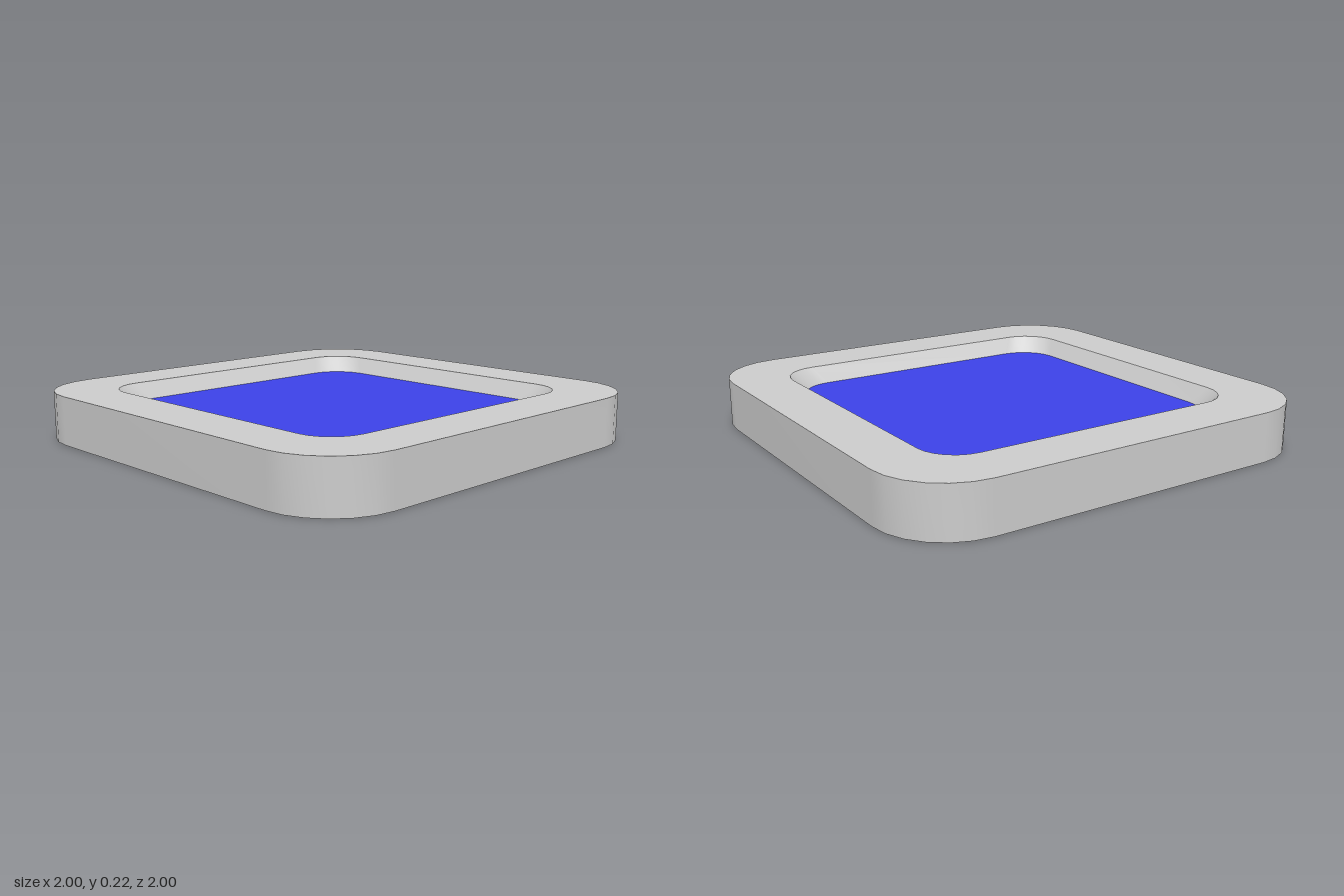
import * as THREE from 'three';

const CORNER_STEPS = 6;

// Rounded-square outline at height y: half width, corner radius
function outline({ half, radius, y }) {
  const points = [];
  const c = half - radius;
  for (let k = 0; k < 4; k++) {
    const sx = k === 0 || k === 3 ? 1 : -1;
    const sz = k < 2 ? 1 : -1;
    for (let i = 0; i <= CORNER_STEPS; i++) {
      const t = (k + i / CORNER_STEPS) * Math.PI / 2;
      points.push([sx * c + radius * Math.cos(t), y, sz * c + radius * Math.sin(t)]);
    }
  }
  return points;
}

// Strip of faces joining two outlines, smooth within itself
function band(from, to) {
  const a = outline(from), b = outline(to), n = a.length;
  const index = [];
  for (let i = 0; i < n; i++) {
    const j = (i + 1) % n;
    index.push(i, n + i, n + j, i, n + j, j);
  }
  const geometry = new THREE.BufferGeometry();
  geometry.setAttribute('position', new THREE.Float32BufferAttribute([...a, ...b].flat(), 3));
  geometry.setIndex(index);
  geometry.computeVertexNormals();
  return geometry;
}

// Flat face filling an outline, facing up or down
function cap(section, up) {
  const loop = outline(section);
  const shape = new THREE.Shape(loop.map(([x, , z]) => new THREE.Vector2(x, z)));
  const geometry = new THREE.ShapeGeometry(shape);
  geometry.rotateX(up ? -Math.PI / 2 : Math.PI / 2);
  return geometry.translate(0, section.y, 0);
}

export function createModel() {
  const grey = new THREE.MeshStandardMaterial({ color: 0xcccccc });
  const blue = new THREE.MeshStandardMaterial({ color: 0x3c42e8 });

  const base = { half: 1, radius: 0.32, y: 0 };
  const rim = { half: 1, radius: 0.32, y: 0.22 };
  const lip = { half: 0.75, radius: 0.17, y: 0.22 };
  const floor = { half: 0.695, radius: 0.17, y: 0.147 };

  const model = new THREE.Group();
  model.name = 'tray';
  const add = (name, geometry, material) => {
    const mesh = new THREE.Mesh(geometry, material);
    mesh.name = name;
    model.add(mesh);
  };

  add('underside', cap(base, false), grey);
  add('outerWall', band(base, rim), grey);
  add('rimTop', band(rim, lip), grey);
  // Sloping wall of the recess
  add('recessWall', band(lip, floor), grey);
  add('recessFloor', cap(floor, true), blue);
  return model;
}
